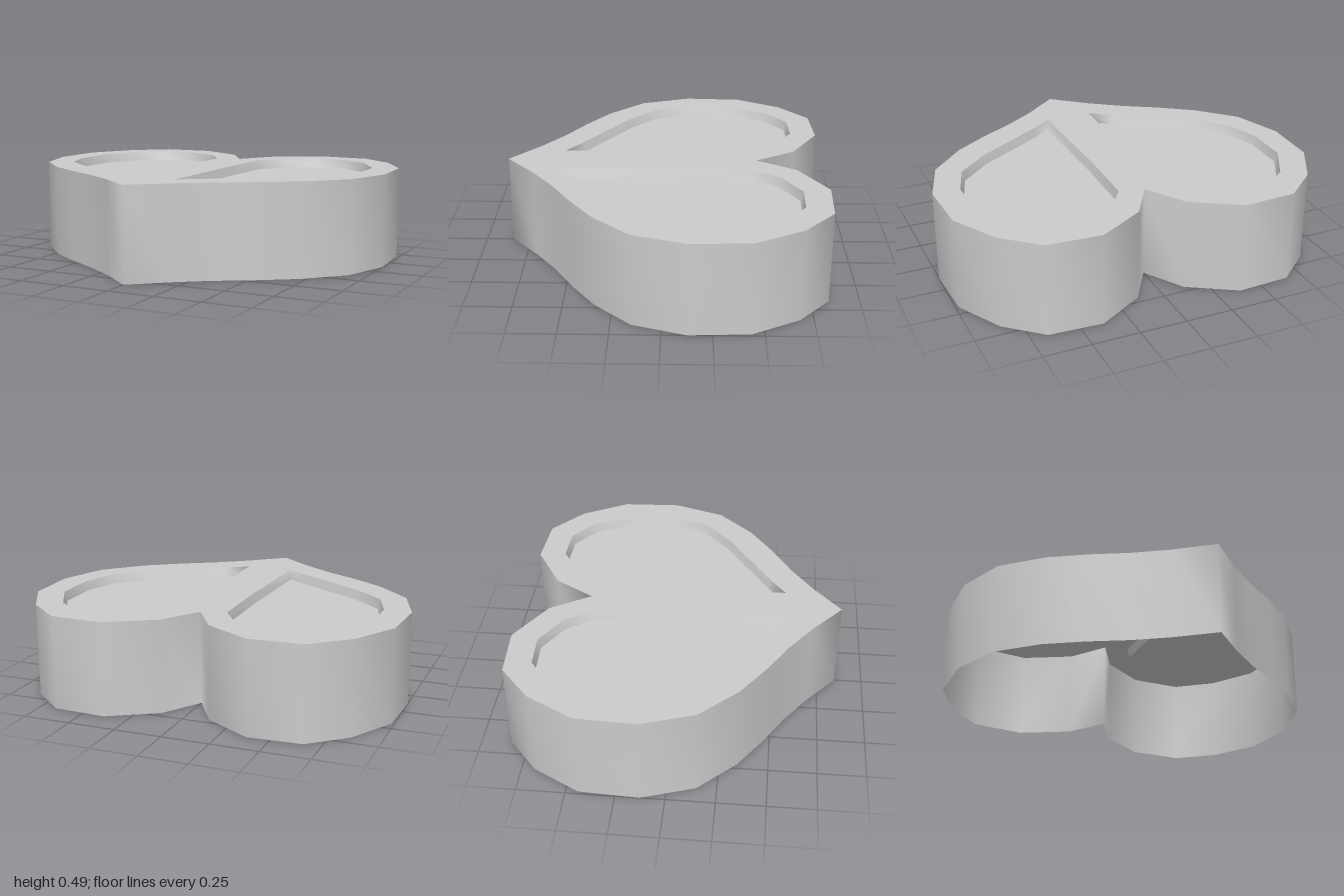
import * as THREE from 'three';

const HEIGHT = 0.49, DEPTH = 0.05, INSET = 0.015;

// Half outline of the heart as [x, z], from the rear notch to the front tip
const HALF = [[0, -0.5], [0.13, -0.71], [0.38, -0.858], [0.663, -0.843], [0.85, -0.682], [0.985, -0.437],
  [1, -0.127], [0.909, 0.147], [0.722, 0.34], [0.535, 0.468], [0.353, 0.575], [0.187, 0.693], [0, 0.85]];

// Rim of the left pocket as [x, z]
const POCKET = [[0.128, 0.548], [0.12, -0.1], [0.13, -0.465], [0.23, -0.615], [0.406, -0.717], [0.594, -0.709],
  [0.738, -0.596], [0.85, -0.388], [0.856, -0.131], [0.79, 0.067], [0.62, 0.222], [0.246, 0.462]];

const mirror = (pts) => pts.map(([x, z]) => [-x, z]);
const toPlan = (pts) => pts.map(([x, z]) => new THREE.Vector2(x, -z));

// Move a closed ring inward by d, mitring its corners
function inset(pts, d) {
  const n = pts.length;
  const normal = (a, b) => {
    const dx = b[0] - a[0], dz = b[1] - a[1], l = Math.hypot(dx, dz);
    return [dz / l, -dx / l];
  };
  return pts.map((p, i) => {
    const a = normal(pts[(i + n - 1) % n], p), b = normal(p, pts[(i + 1) % n]);
    const k = d / (1 + a[0] * b[0] + a[1] * b[1]);
    return [p[0] + (a[0] + b[0]) * k, p[1] + (a[1] + b[1]) * k];
  });
}

// Smooth band joining a lower ring to an upper ring
function band(low, yLow, high, yHigh) {
  const n = low.length, pos = [], index = [];
  for (let i = 0; i < n; i++) {
    pos.push(low[i][0], yLow, low[i][1], high[i][0], yHigh, high[i][1]);
    const a = 2 * i, b = 2 * ((i + 1) % n);
    index.push(a, a + 1, b + 1, a, b + 1, b);
  }
  const g = new THREE.BufferGeometry();
  g.setAttribute('position', new THREE.Float32BufferAttribute(pos, 3));
  g.setIndex(index);
  g.computeVertexNormals();
  return g;
}

// Flat horizontal sheet, optionally with holes
function sheet(ring, y, holes = []) {
  const shape = new THREE.Shape(toPlan(ring));
  holes.forEach((h) => shape.holes.push(new THREE.Path(toPlan(h))));
  return new THREE.ShapeGeometry(shape).rotateX(-Math.PI / 2).translate(0, y, 0);
}

export function createModel() {
  const group = new THREE.Group();
  group.name = 'heartMould';
  const material = new THREE.MeshStandardMaterial({ color: 0xcccccc, side: THREE.DoubleSide });
  const add = (name, geometry) => {
    const mesh = new THREE.Mesh(geometry, material);
    mesh.name = name;
    group.add(mesh);
  };

  const outline = [...HALF, ...mirror(HALF.slice(1, -1)).reverse()];
  const pockets = { left: [...POCKET].reverse(), right: mirror(POCKET) };

  // Open-bottomed shell
  add('outerWall', band(outline, 0, outline, HEIGHT));
  add('topRim', sheet(outline, HEIGHT, Object.values(pockets)));

  // Two shallow pockets with slightly sloping walls
  for (const [side, rim] of Object.entries(pockets)) {
    const floor = inset(rim, INSET);
    add(side + 'PocketWall', band(floor, HEIGHT - DEPTH, rim, HEIGHT));
    add(side + 'PocketFloor', sheet(floor, HEIGHT - DEPTH));
  }
  return group;
}
